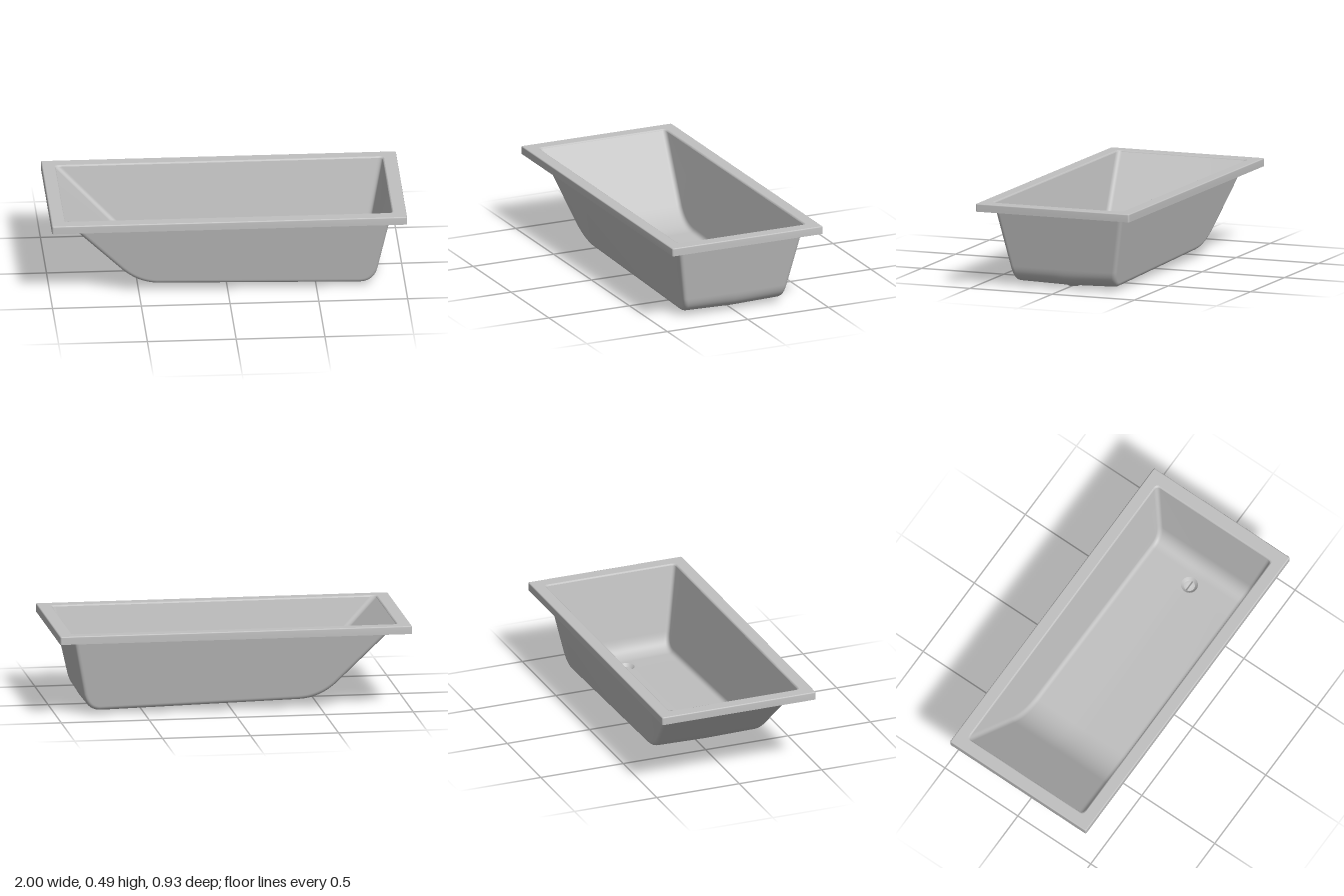
import * as THREE from 'three';

const TOP = 0.477, RIM = 0.485, SKIRT = 0.44, FILLET = 0.025;
const DRAIN = { x: 0.68, half: 0.06, r: 0.048 };

// Half width of the tapered side walls at height y
const halfWidth = (y) => 0.305 + (y - 0.022) * 0.191;
const floorY = (x) => 0.05 - ((x + 0.38) / 1.12) * 0.028;
const CROWN = 0.007;

function geometry(points, index) {
  const g = new THREE.BufferGeometry().setFromPoints(points);
  g.setIndex(index);
  g.computeVertexNormals();
  return g;
}

// Joins closed loops of equal point count
function loft(loops) {
  const n = loops[0].length, index = [];
  for (let i = 0; i < loops.length - 1; i++) {
    for (let j = 0; j < n; j++) {
      const a = i * n + j, b = i * n + (j + 1) % n;
      index.push(a, b, a + n, b, b + n, a + n);
    }
  }
  return geometry(loops.flat(), index);
}

// Lengthwise profile: sloping backrest, floor, steep foot end
function makeProfile() {
  const V = (x, y) => new THREE.Vector2(x, y);
  const back = new THREE.QuadraticBezierCurve(V(-0.6, 0.15), V(-0.505, 0.053), V(-0.38, 0.05));
  const foot = new THREE.QuadraticBezierCurve(V(0.74, 0.022), V(0.825, 0.02), V(0.845, 0.115));
  return [
    V(-0.922, TOP), ...back.getPoints(12),
    V(0.62, floorY(0.62)), ...foot.getPoints(12), V(0.92, TOP),
  ];
}

// Half of a cross-section: rim, side wall, fillet, floor edge
function halfSection(profile, i, side) {
  const p = profile[i], t = new THREE.Vector2();
  if (i > 0) t.add(p.clone().sub(profile[i - 1]).normalize());
  if (i < profile.length - 1) t.add(profile[i + 1].clone().sub(p).normalize());
  t.normalize();
  const b = new THREE.Vector2(-t.y, t.x).multiplyScalar(FILLET).add(p);
  if (b.y > TOP) b.addScaledVector(t, (TOP - b.y) / t.y);
  const w = halfWidth(p.y);
  const arc = new THREE.QuadraticBezierCurve3(
    new THREE.Vector3(b.x, b.y, side * halfWidth(b.y)),
    new THREE.Vector3(p.x, p.y, side * w),
    new THREE.Vector3(p.x, p.y, side * (w - FILLET)),
  );
  return [new THREE.Vector3(b.x, TOP, side * halfWidth(TOP)), ...arc.getPoints(6)];
}

function makeBasin() {
  const profile = makeProfile();
  const rows = profile.map((p, i) => {
    const edge = halfWidth(p.y) - FILLET;
    const drop = CROWN * THREE.MathUtils.clamp(1 - (p.y - 0.05) / 0.1, 0, 1);
    const middle = [-DRAIN.half, 0, DRAIN.half].map((z) =>
      new THREE.Vector3(p.x, p.y - drop * (1 - Math.abs(z) / edge), z));
    return [...halfSection(profile, i, -1), ...middle, ...halfSection(profile, i, 1).reverse()];
  });
  const n = rows[0].length, mid = (n - 1) / 2, index = [];
  for (let i = 0; i < rows.length - 1; i++) {
    for (let j = 0; j < n - 1; j++) {
      // Leave a square opening for the drain patch
      const atDrain = Math.abs(profile[i].x - 0.62) < 1e-6 && (j === mid - 1 || j === mid);
      if (atDrain) continue;
      const a = i * n + j, c = a + n;
      index.push(a, a + 1, c, a + 1, c + 1, c);
    }
  }
  // Outline of the opening, without repeated points
  const outline = [
    ...rows[0],
    ...rows.map((r) => r[n - 1]),
    ...[...rows[rows.length - 1]].reverse(),
    ...rows.map((r) => r[0]).reverse(),
  ].filter((p, i, all) => p.distanceTo(all[(i + 1) % all.length]) > 1e-5);
  return { geo: geometry(rows.flat(), index), outline };
}

// Floor patch running from a square border to the round drain hole
function makeDrainPatch() {
  const square = [], circle = [], count = 32;
  for (let i = 0; i < count; i++) {
    const a = (i / count) * Math.PI * 2, c = Math.cos(a), s = Math.sin(a);
    const k = DRAIN.half / Math.max(Math.abs(c), Math.abs(s));
    for (const [list, r] of [[square, k], [circle, DRAIN.r]]) {
      const x = DRAIN.x + c * r, z = s * r, y = floorY(x);
      const edge = halfWidth(y) - FILLET;
      list.push(new THREE.Vector3(x, y - CROWN * (1 - Math.abs(z) / edge), z));
    }
  }
  return loft([circle, square]);
}

// Rounded rectangle loop at height y, inset from the full outline
function rimLoop(y, inset) {
  const r = 0.01, pts = [];
  for (let q = 0; q < 4; q++) {
    const sx = q === 0 || q === 3 ? 1 : -1, sz = q < 2 ? 1 : -1;
    for (let k = 0; k <= 4; k++) {
      const a = (q + k / 4) * Math.PI / 2, rr = r - inset;
      pts.push(new THREE.Vector3(
        sx * (1 - r) + Math.cos(a) * rr, y, sz * (0.467 - r) + Math.sin(a) * rr));
    }
  }
  return pts;
}

export function createModel() {
  const group = new THREE.Group();
  group.name = 'bathtub';
  const enamel = new THREE.MeshStandardMaterial({ color: 0xc0c0c0, side: THREE.DoubleSide });
  enamel.name = 'greyEnamel';
  const add = (name, geo) => {
    const mesh = new THREE.Mesh(geo, enamel);
    mesh.name = name;
    group.add(mesh);
    return mesh;
  };

  // Basin and drain
  const { geo, outline } = makeBasin();
  add('basin', geo);
  add('drainSurround', makeDrainPatch());
  const cup = [[0.031, 0], [0.036, 0.004], [DRAIN.r, 0.0175]].map(([x, y]) => new THREE.Vector2(x, y));
  add('drainCup', new THREE.LatheGeometry(cup, 32)).position.x = DRAIN.x;

  // Rounded lip from the basin up to the rim
  const widen = (d, y) => outline.map((p) =>
    new THREE.Vector3(p.x * (1 + d / 0.92), y, p.z * (1 + d / 0.392)));
  const lip = [outline, widen(0.0025, 0.4825), widen(0.008, RIM)];
  add('innerLip', loft(lip));

  // Flat rim top with the basin opening
  const flat = (pts) => pts.map((p) => new THREE.Vector2(p.x, -p.z));
  const shape = new THREE.Shape(flat(rimLoop(RIM, 0.006)));
  shape.holes.push(new THREE.Path(flat(lip[2])));
  const top = new THREE.ShapeGeometry(shape);
  top.rotateX(-Math.PI / 2);
  add('rimTop', top).position.y = RIM;

  // Hanging skirt with a softened top edge
  add('rimSkirt', loft([
    rimLoop(RIM, 0.006), rimLoop(0.4832, 0.0018), rimLoop(0.479, 0), rimLoop(SKIRT, 0),
  ]));

  return group;
}
